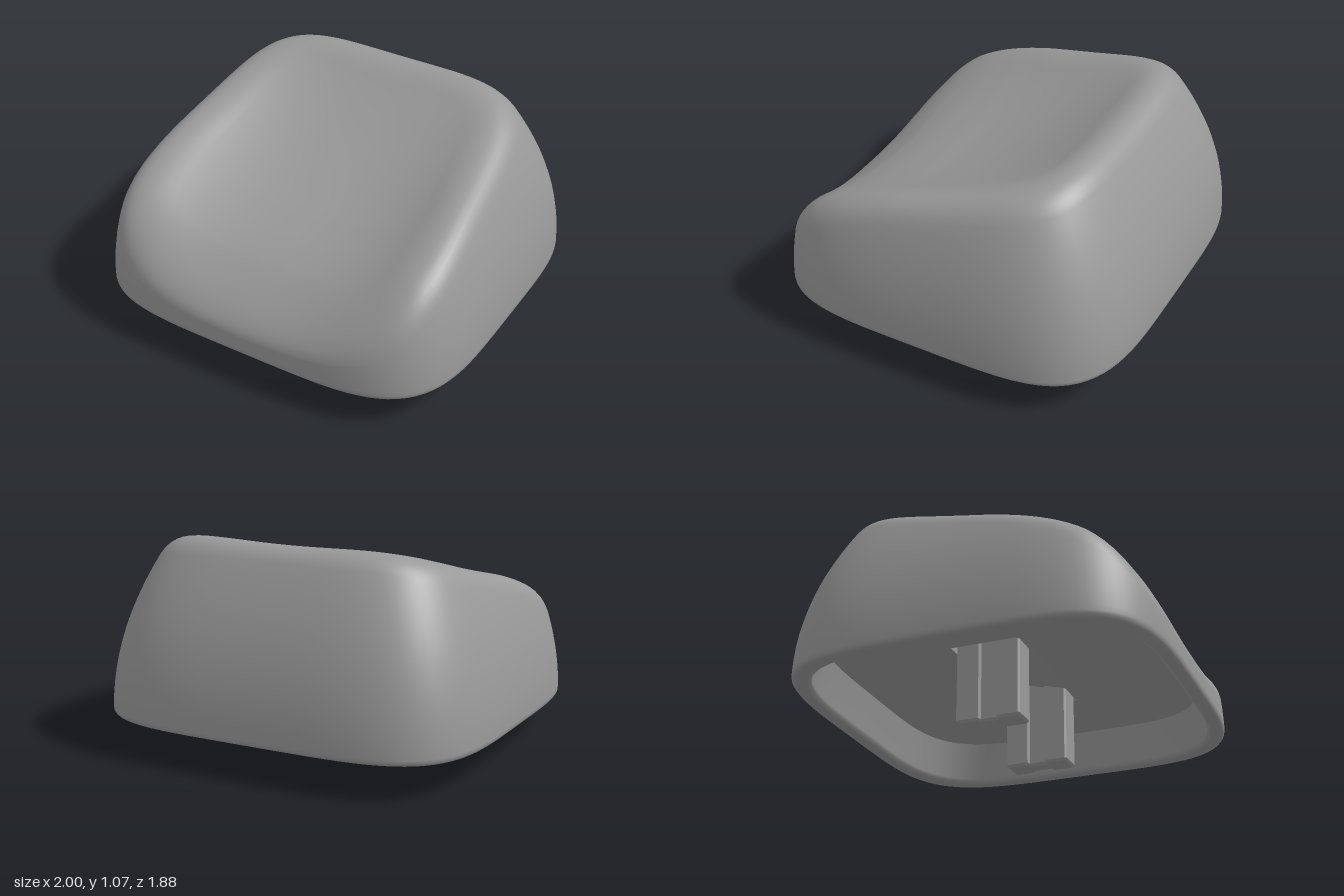
import * as THREE from 'three';

const BASE = 0.172, CEILING = 0.39, COLS = 160;
const material = new THREE.MeshStandardMaterial({ color: 0x999999 });

// Heights every 0.2 along z, from z = -1 to z = 1.2
const heightCurve = (values) => {
  const spline = new THREE.SplineCurve(values.map((y, i) => new THREE.Vector2(i, y)));
  return (z) => spline.getPoint((z + 1) / 2.2).y;
};
const dishLine = heightCurve([1.3, 1.23, 1.12, 0.99, 0.88, 0.79, 0.715, 0.65, 0.575, 0.465, 0.31, 0.1]);
const rimLine = heightCurve([1.25, 1.2, 1.145, 1.09, 1.03, 0.97, 0.91, 0.845, 0.765, 0.66, 0.51, 0.3]);

// Scooped top: low along the middle, rising to both side rims
function topHeight(x, z) {
  const lift = Math.min(1.1, (Math.abs(x) / 0.78) ** 2.5);
  return THREE.MathUtils.lerp(dishLine(z), rimLine(z), lift);
}

// Rounded-square outline of unit half-width
function outline(angle) {
  const n = 4.4, c = Math.cos(angle), s = Math.sin(angle);
  const r = (Math.abs(c) ** n + Math.abs(s) ** n) ** (-1 / n);
  return [r * c, r * s];
}

// Outer wall, leaning inward with height
function wallPoint([u, v], y) {
  const q = ((y - BASE) / 0.9) ** 2;
  return new THREE.Vector3(u * (1 - 0.27 * q), y, v * (0.94 - (v > 0 ? 0.22 : 0.29) * q));
}

// One profile: cavity wall, lip, outer wall, rounded rim, dish to the centre
function profile(angle) {
  const o = outline(angle), points = [];
  const ring = (s, y) => points.push(new THREE.Vector3(o[0] * s, y, o[1] * (s - 0.06)));
  ring(0.87, CEILING);
  ring(0.9, 0.27);
  ring(0.915, 0.2);
  ring(0.92, 0.183);
  ring(0.935, BASE);
  ring(0.975, BASE);
  ring(0.99, 0.177);
  ring(0.998, 0.188);

  // Height where the wall meets the dish
  let low = BASE, high = 1.4;
  for (let i = 0; i < 30; i++) {
    const mid = (low + high) / 2, p = wallPoint(o, mid);
    if (mid < topHeight(p.x, p.z)) low = mid; else high = mid;
  }
  const rim = wallPoint(o, low);
  const wallEnd = low - Math.min(0.15 + 0.04 * rim.z, 0.45 * (low - BASE));
  for (let i = 0; i <= 12; i++) points.push(wallPoint(o, THREE.MathUtils.lerp(0.205, wallEnd, i / 12)));

  // The rounding widens towards the front
  const onDish = (s) => new THREE.Vector3(rim.x * s, topHeight(rim.x * s, rim.z * s), rim.z * s);
  const inner = 1 - (0.2 + 0.06 * rim.z) / Math.hypot(rim.x, rim.z);
  const fillet = new THREE.QuadraticBezierCurve3(wallPoint(o, wallEnd), rim, onDish(inner));
  points.push(...fillet.getPoints(10).slice(1));
  for (let i = 1; i <= 28; i++) points.push(onDish(inner * (1 - i / 28)));
  return points;
}

function shellGeometry() {
  const columns = Array.from({ length: COLS }, (_, j) => profile((j / COLS) * Math.PI * 2));
  const rows = columns[0].length, positions = [], index = [];
  for (let i = 0; i < rows; i++) {
    for (let j = 0; j < COLS; j++) {
      positions.push(...columns[j][i].toArray());
      if (i === rows - 1) continue;
      const a = i * COLS + j, c = i * COLS + (j + 1) % COLS;
      index.push(a, a + COLS, c, a + COLS, c + COLS, c);
    }
  }
  const geometry = new THREE.BufferGeometry();
  geometry.setAttribute('position', new THREE.Float32BufferAttribute(positions, 3));
  geometry.setIndex(index);
  geometry.computeVertexNormals();
  return geometry;
}

// Flat underside of the cavity with a rectangular opening for the posts
function ceilingGeometry(halfX, halfZ) {
  const shape = new THREE.Shape(Array.from({ length: COLS }, (_, j) => {
    const [u, v] = outline((j / COLS) * Math.PI * 2);
    return new THREE.Vector2(u * 0.87, v * 0.81);
  }));
  const corners = [[-halfX, -halfZ], [-halfX, halfZ], [halfX, halfZ], [halfX, -halfZ]];
  shape.holes.push(new THREE.Path(corners.map(([x, z]) => new THREE.Vector2(x, z))));
  return new THREE.ShapeGeometry(shape).rotateX(Math.PI / 2);
}

// Wedge-shaped pocket above the opening, its roof rising to the back
function pocketGeometry(x, z, rise) {
  const fl = [x, 0, z], fr = [-x, 0, z], bl = [x, 0, -z], br = [-x, 0, -z];
  const tl = [x, rise, -z], tr = [-x, rise, -z];
  const faces = [fr, tr, tl, fr, tl, fl, br, bl, tl, br, tl, tr, bl, fl, tl, br, tr, fr];
  const geometry = new THREE.BufferGeometry();
  geometry.setAttribute('position', new THREE.Float32BufferAttribute(faces.flat(), 3));
  geometry.computeVertexNormals();
  return geometry;
}

// Mounting post with a groove down each broad face
function postGeometry() {
  const b = 0.012, w = 0.07 - b, d = 0.165 - b, waist = 0.035, g = 0.055;
  const right = [[waist, g - 0.004], [w, g + 0.002], [w, d - 0.002], [w - 0.002, d]];
  const side = [...right.map(([x, y]) => [x, -y]).reverse(), ...right];
  const loop = [...side, ...side.map(([x, y]) => [-x, -y])];
  const shape = new THREE.Shape(loop.map(([x, y]) => new THREE.Vector2(x, y)));
  const geometry = new THREE.ExtrudeGeometry(shape, {
    depth: CEILING + 0.08, bevelSize: b, bevelThickness: b, bevelSegments: 1,
  });
  return geometry.rotateX(-Math.PI / 2).translate(0, b, 0);
}

export function createModel() {
  const model = new THREE.Group();
  const add = (name, geometry, x = 0, y = 0) => {
    const mesh = new THREE.Mesh(geometry, material);
    mesh.name = name;
    mesh.position.set(x, y, 0);
    model.add(mesh);
  };

  add('capShell', shellGeometry());
  add('cavityCeiling', ceilingGeometry(0.42, 0.185), 0, CEILING);
  add('postPocket', pocketGeometry(0.42, 0.185, 0.1), 0, CEILING);
  const post = postGeometry();
  add('leftPost', post, 0.327);
  add('rightPost', post, -0.327);
  return model;
}
